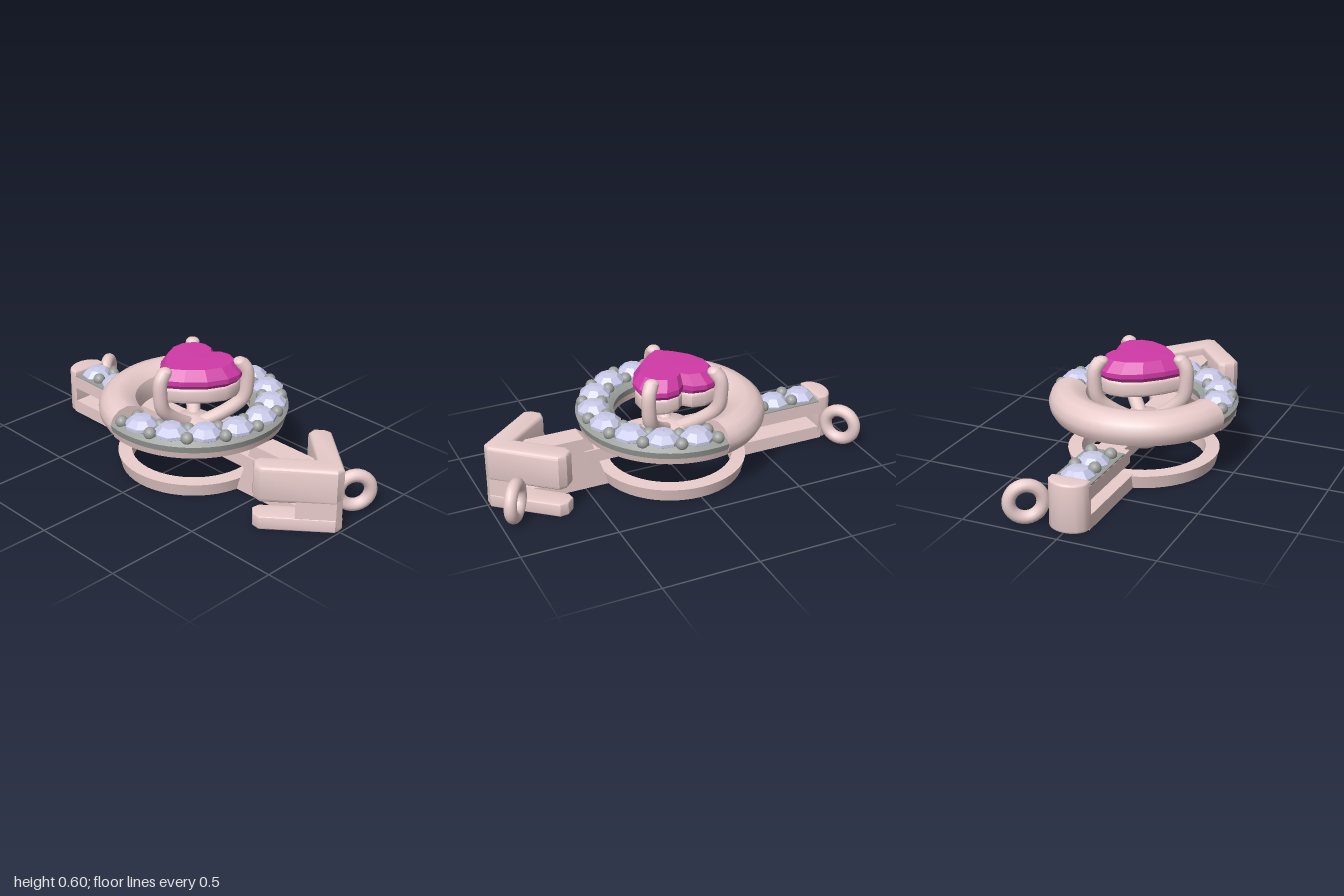
import * as THREE from 'three';
import { toCreasedNormals } from 'three/addons/utils/BufferGeometryUtils.js';

const mat = (color, extra = {}) => new THREE.MeshStandardMaterial({ color, ...extra });

export function createModel() {
  const model = new THREE.Group();
  const gold = mat(0xe8cccb), goldFlat = mat(0xe8cccb, { side: THREE.DoubleSide });
  const grey = mat(0x9b9e9a, { side: THREE.DoubleSide });
  const paveMat = mat(0xc9cbea, { flatShading: true });
  const heartMat = mat(0xd03aa6, { flatShading: true });

  const add = (name, geo, material, x = 0, y = 0, z = 0) => {
    const m = new THREE.Mesh(geo, material);
    m.name = name;
    m.position.set(x, y, z);
    model.add(m);
    return m;
  };
  const box = (name, x0, x1, y0, y1, halfZ, material = gold) =>
    add(name, new THREE.BoxGeometry(x1 - x0, y1 - y0, halfZ * 2), material, (x0 + x1) / 2, (y0 + y1) / 2, 0);

  const shapeOf = pts => new THREE.Shape(pts.map(p => new THREE.Vector2(...p)));
  // Horizontal plate from [x, -z] points, between heights y0 and y1
  const plate = (name, shape, y0, y1, bevel = 0) => {
    let g = new THREE.ExtrudeGeometry(shape, {
      depth: y1 - y0 - 2 * bevel, bevelEnabled: bevel > 0, bevelSize: bevel,
      bevelThickness: bevel, bevelOffset: -bevel, bevelSegments: 3, curveSegments: 12
    });
    g.rotateX(-Math.PI / 2);
    g = toCreasedNormals(g, 0.6);
    return add(name, g, gold, 0, y0 + bevel, 0);
  };
  // Closed [radius, y] section swept round y, with end caps for partial sweeps
  const sweep = (name, pts, material, start = 0, length = Math.PI * 2) => {
    const v = [...pts, pts[0]].map(p => new THREE.Vector2(...p));
    const g = new THREE.LatheGeometry(v, Math.round(length * 8), start, length);
    add(name, toCreasedNormals(g, 0.6), material);
    if (length < 6.28) for (const a of [start, start + length])
      add(name + 'End', new THREE.ShapeGeometry(shapeOf(pts)), goldFlat).rotation.y = a - Math.PI / 2;
  };

  // Lower ring and the two rails of the bar
  sweep('lowerRing', [[0.32, 0], [0.38, 0], [0.397, 0.07], [0.325, 0.075]], gold);
  box('leftLowerRail', -0.86, -0.36, 0, 0.072, 0.1);
  box('leftUpperRail', -0.86, -0.4, 0.15, 0.22, 0.1);
  box('crossRail', -0.42, 0.5, 0.15, 0.22, 0.07);
  const cap = new THREE.Shape();
  cap.moveTo(-0.84, -0.1);
  cap.lineTo(-0.84, 0.1);
  cap.lineTo(-0.88, 0.1);
  cap.bezierCurveTo(-0.96, 0.07, -0.96, -0.07, -0.88, -0.1);
  plate('barEndCap', cap, 0, 0.25, 0.012);

  // Arrow shaft with its slanted strut
  const strut = new THREE.ExtrudeGeometry(
    shapeOf([[0.37, 0], [0.64, 0], [0.64, 0.29], [0.5, 0.29], [0.46, 0.26], [0.42, 0.14]]),
    { depth: 0.12, bevelEnabled: false });
  add('shaftStrut', strut, gold, 0, 0, -0.06);
  box('shaftUpper', 0.62, 0.9, 0.15, 0.29, 0.06);
  box('shaftLower', 0.62, 0.9, 0, 0.072, 0.06);

  // Arrowhead: two chevrons joined at the tip, leaving a slot
  const half = [[0.99, 0.025], [0.71, 0.26], [0.665, 0.255], [0.625, 0.215], [0.63, 0.175]];
  const chevron = () => shapeOf([
    ...half, [0.84, 0], ...half.map(([x, z]) => [x, -z]).reverse()]);
  plate('arrowheadTop', chevron(), 0.15, 0.34, 0.02);
  plate('arrowheadBottom', chevron(), 0, 0.072, 0.008);
  plate('arrowheadTip', shapeOf([[0.84, -0.148], [0.99, -0.022], [0.99, 0.022], [0.84, 0.148]]), 0.02, 0.2);

  // Loops for the chain at both ends
  for (const s of [-1, 1]) {
    const loop = add(s < 0 ? 'rightChainLoop' : 'leftChainLoop',
      new THREE.TorusGeometry(0.082, 0.033, 12, 28), gold, s * 0.917, 0.117, -0.2);
    loop.rotation.y = s * Math.atan2(0.81, 0.58);
  }

  // Halo: plain domed part on one side, stone-set part on the other
  const deg = Math.PI / 180;
  sweep('haloPlain', [[0.29, 0.265], [0.465, 0.265], [0.485, 0.3], [0.49, 0.335], [0.475, 0.375],
    [0.44, 0.405], [0.39, 0.418], [0.34, 0.405], [0.3, 0.375], [0.285, 0.33]], gold, 192 * deg, 156 * deg);
  sweep('haloBase', [[0.3, 0.265], [0.47, 0.265], [0.48, 0.302], [0.295, 0.302]], gold, -12 * deg, 204 * deg);
  sweep('haloSettingBand', [[0.295, 0.3], [0.48, 0.3], [0.489, 0.335], [0.46, 0.355], [0.32, 0.355], [0.29, 0.335]],
    grey, -12 * deg, 204 * deg);

  // Small faceted stones and the beads that hold them
  const stoneGeo = new THREE.LatheGeometry(
    [[0.001, -0.06], [0.084, -0.008], [0.084, 0.008], [0.05, 0.04], [0.001, 0.046]]
      .map(p => new THREE.Vector2(...p)), 8);
  const beadGeo = new THREE.SphereGeometry(0.032, 14, 10);
  const stone = (x, y, z, turn) => add('smallStone', stoneGeo, paveMat, x, y, z).rotation.y = turn;
  const bead = (x, y, z) => add('bead', beadGeo, grey, x, y, z);
  for (let i = -4; i <= 4; i++) {
    const a = i * 24.2 * deg;
    for (const r of [0.352, 0.45]) bead(r * Math.cos(a), 0.365, r * Math.sin(a));
    if (i < 4) {
      const b = a + 12.1 * deg;
      stone(0.398 * Math.cos(b), 0.365, 0.398 * Math.sin(b), i * 0.7);
    }
  }
  box('barSettingBand', -0.84, -0.46, 0.2, 0.226, 0.099, grey);
  for (const x of [-0.695, -0.52]) for (const z of [-0.052, 0.052]) bead(x, 0.24, z);
  [-0.77, -0.61].forEach((x, i) => stone(x, 0.224, 0, i * 0.5 + 0.2));

  // Heart outline, as [x, z]
  const side = [[0.04, -0.195], [0.11, -0.207], [0.18, -0.18], [0.218, -0.11], [0.218, -0.03], [0.17, 0.07], [0.09, 0.155]];
  const heart = [[0, -0.155], ...side, [0, 0.22], ...side.map(([x, z]) => [-x, z]).reverse()];

  // Heart stone: scaled outlines stacked from culet to table
  const levels = [[0.04, 0.4], [0.93, 0.485], [1, 0.505], [1, 0.53], [0.8, 0.582], [0, 0.587]];
  const n = heart.length, pos = [], index = [];
  levels.forEach(([s, y], k) => {
    for (const [x, z] of heart) pos.push(x * s, y, z * s);
    if (k) for (let i = 0; i < n; i++) {
      const a = (k - 1) * n + i, b = (k - 1) * n + (i + 1) % n;
      index.push(a, a + n, b, b, a + n, b + n);
    }
  });
  const gem = new THREE.BufferGeometry();
  gem.setAttribute('position', new THREE.Float32BufferAttribute(pos, 3));
  gem.setIndex(index);
  gem.computeVertexNormals();
  add('heartStone', gem, heartMat);

  // Heart-shaped gallery under the stone
  const smoothHeart = k => heart.map(([x, z]) => [x * k, -z * k]);
  const gallery = shapeOf(smoothHeart(0.95));
  gallery.holes.push(new THREE.Path(smoothHeart(0.62).map(p => new THREE.Vector2(...p))));
  plate('heartGallery', gallery, 0.4, 0.488, 0.02);

  // Rounded post under the setting
  const post = [[0.001, 0.065], [0.06, 0.072], [0.1, 0.1], [0.112, 0.15], [0.112, 0.21], [0.09, 0.25], [0.001, 0.26]];
  add('centrePost', new THREE.LatheGeometry(post.map(p => new THREE.Vector2(...p)), 24), gold);

  // Three prongs branching from the post and gripping the stone
  for (const [x, z] of [[0, 0.235], [0.2, -0.185], [-0.2, -0.185]]) {
    const at = (k, y) => new THREE.Vector3(x * k, y, z * k);
    const path = new THREE.CatmullRomCurve3(
      [at(0.15, 0.22), at(0.6, 0.29), at(0.93, 0.37), at(1, 0.46), at(0.98, 0.53), at(0.86, 0.572)]);
    add('prong', new THREE.TubeGeometry(path, 24, 0.037, 12), gold);
    const tip = add('prongTip', new THREE.SphereGeometry(0.037, 12, 8), gold);
    tip.position.copy(at(0.86, 0.57));
    tip.scale.y = 0.7;
  }
  return model;
}
